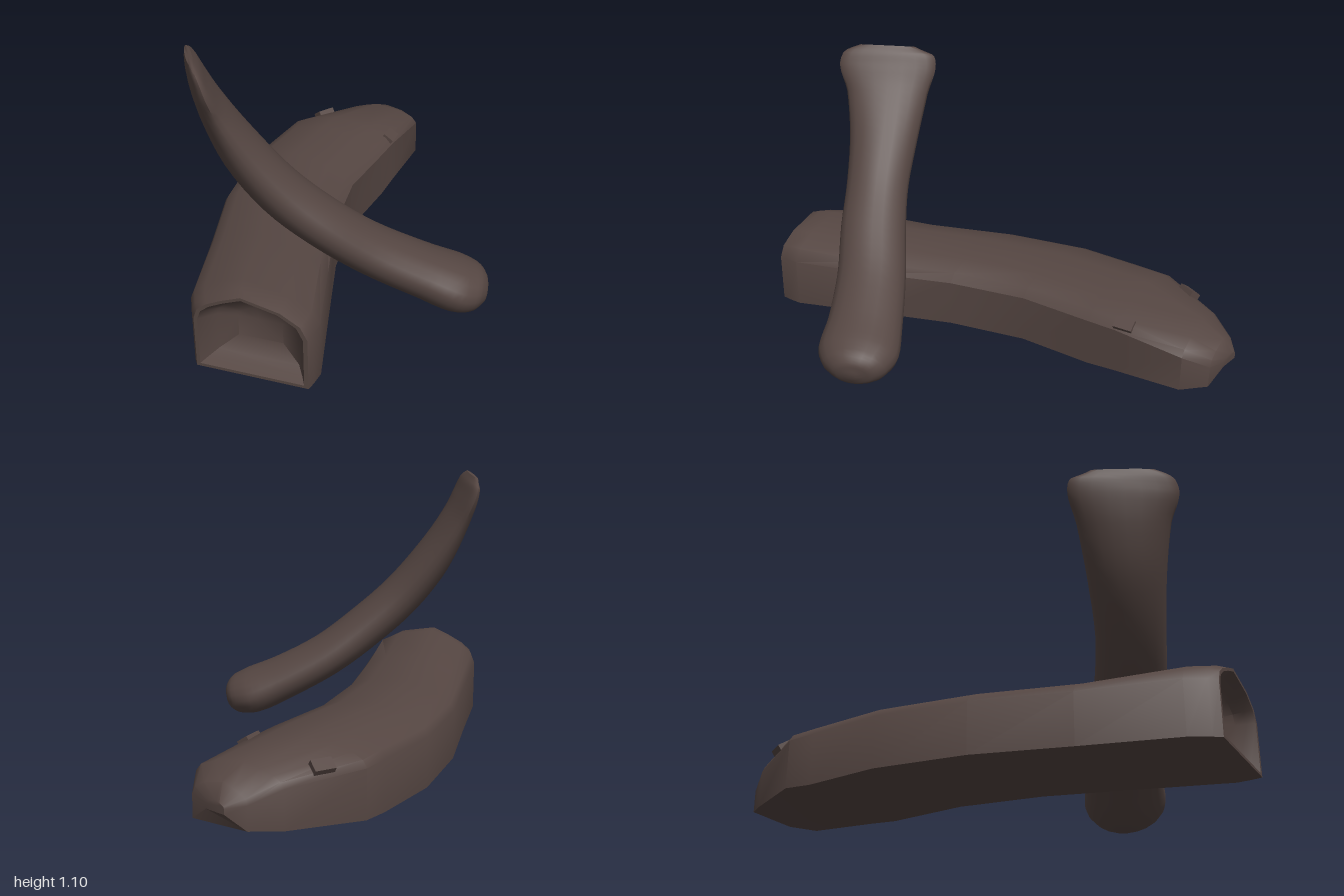
import * as THREE from 'three';
import { toCreasedNormals } from 'three/addons/utils/BufferGeometryUtils.js';

// Skin over closed rings of points, with a fan closing each end
function loft(rings, crease) {
  const n = rings[0].length, pos = [], idx = [];
  rings.forEach(r => r.forEach(p => pos.push(p.x, p.y, p.z)));
  for (let i = 0; i < rings.length - 1; i++) {
    for (let j = 0; j < n; j++) {
      const k = (j + 1) % n;
      const a = i * n + j, b = i * n + k, c = b + n, d = a + n;
      idx.push(a, d, c, a, c, b);
    }
  }
  const last = rings.length - 1;
  for (const i of [0, last]) {
    const mid = centre(rings[i]), m = pos.length / 3;
    pos.push(mid.x, mid.y, mid.z);
    for (let j = 0; j < n; j++) {
      const a = i * n + j, b = i * n + (j + 1) % n;
      if (i === 0) idx.push(m, a, b); else idx.push(m, b, a);
    }
  }
  const g = new THREE.BufferGeometry();
  g.setAttribute('position', new THREE.Float32BufferAttribute(pos, 3));
  g.setIndex(idx);
  return toCreasedNormals(g, crease);
}

function centre(ring) {
  const c = new THREE.Vector3();
  ring.forEach(p => c.add(p));
  return c.divideScalar(ring.length);
}

// Cross-section of the body: share of width, share of shoulder height (-1 = base)
const SECTION = [
  [0, -1], [0, 0], [0.035, 0.32], [0.12, 0.55], [0.26, 0.78], [0.43, 1],
  [0.77, 0.74], [0.94, 0.4], [1, 0], [1, -1],
];

// z on each side, x on each side, base, wall top, ridge
const BODY = [
  [-1.0, -0.99, -0.335, -0.25, 0.11, 0.13, 0.15],
  [-0.955, -0.965, -0.395, -0.17, 0.05, 0.14, 0.205],
  [-0.85, -0.87, -0.47, -0.11, 0.032, 0.18, 0.25],
  [-0.57, -0.57, -0.62, -0.115, 0.01, 0.2, 0.285],
  [-0.45, -0.45, -0.622, -0.115, 0, 0.2, 0.292],
  [-0.15, -0.13, -0.63, -0.12, 0, 0.2, 0.292],
  [0.2, 0.2, -0.56, -0.05, 0, 0.2, 0.292],
  [0.55, 0.55, -0.43, 0.08, 0, 0.2, 0.298],
  [0.9, 0.87, -0.305, 0.2, 0, 0.21, 0.338],
  [0.97, 0.93, -0.26, 0.2, 0, 0.21, 0.337],
  [1.0, 0.965, -0.235, 0.197, 0, 0.205, 0.328],
];

function bodyGeometry() {
  const rings = BODY.map(([zl, zr, xl, xr, base, wall, ridge]) => SECTION.map(([u, h]) =>
    new THREE.Vector3(
      THREE.MathUtils.lerp(xl, xr, u),
      h < 0 ? base : wall + (ridge - wall) * h,
      THREE.MathUtils.lerp(zl, zr, u))));
  // Hollow in the open end: scale and depth of each inner ring
  const rim = rings[rings.length - 1], mid = centre(rim);
  mid.y = 0.16;
  for (const [s, depth] of [[0.93, 0], [0.84, 0.03], [0.72, 0.065], [0.4, 0.1]]) {
    rings.push(rim.map(p => {
      const q = p.clone().sub(mid).multiplyScalar(s).add(mid);
      q.z -= depth;
      return q;
    }));
  }
  return loft(rings, 0.65);
}

// Curved stick: centre x, y, z, half width, half thickness
const STICK = [
  [0.602, 0.073, 0.215, 0.02, 0.015],
  [0.592, 0.076, 0.22, 0.08, 0.055],
  [0.56, 0.086, 0.235, 0.13, 0.085],
  [0.49, 0.108, 0.27, 0.165, 0.1],
  [0.37, 0.17, 0.33, 0.155, 0.095],
  [0.2, 0.28, 0.43, 0.145, 0.092],
  [0.05, 0.42, 0.535, 0.14, 0.092],
  [-0.08, 0.56, 0.61, 0.135, 0.09],
  [-0.2, 0.73, 0.665, 0.15, 0.08],
  [-0.285, 0.9, 0.705, 0.178, 0.055],
  [-0.32, 1.0, 0.725, 0.21, 0.038],
  [-0.335, 1.06, 0.735, 0.195, 0.025],
  [-0.345, 1.092, 0.74, 0.12, 0.012],
];

function stickGeometry() {
  const path = new THREE.CatmullRomCurve3(STICK.map(r => new THREE.Vector3(r[0], r[1], r[2])));
  const size = new THREE.CatmullRomCurve3(
    STICK.map(r => new THREE.Vector3(r[3], r[4], 0)), false, 'catmullrom', 0.5);
  const steps = 48, sides = 20, rings = [];
  for (let i = 0; i <= steps; i++) {
    const p = path.getPoint(i / steps), t = path.getTangent(i / steps);
    const s = size.getPoint(i / steps);
    // Width stays level along one diagonal, thickness is square to it
    const w = new THREE.Vector3(0.61, 0, 0.79);
    w.addScaledVector(t, -w.dot(t)).normalize();
    const n = t.clone().cross(w).normalize();
    const ring = [];
    for (let j = 0; j < sides; j++) {
      const a = -j / sides * Math.PI * 2;
      ring.push(p.clone().addScaledVector(w, Math.cos(a) * s.x).addScaledVector(n, Math.sin(a) * s.y));
    }
    rings.push(ring);
  }
  return loft(rings, 1.1);
}

export function createModel() {
  const group = new THREE.Group();
  const bark = new THREE.MeshStandardMaterial({ color: 0x554642 });
  bark.name = 'darkBrown';

  const add = (name, geometry) => {
    const mesh = new THREE.Mesh(geometry, bark);
    mesh.name = name;
    group.add(mesh);
    return mesh;
  };

  add('hollowBody', bodyGeometry());
  add('curvedStick', stickGeometry());

  // Small raised knobs on both shoulders near the tapered end
  for (const [name, x, y, z, turn] of [
    ['rightKnob', -0.52, 0.222, -0.7, 0.5],
    ['leftKnob', -0.142, 0.218, -0.6, -0.05],
  ]) {
    const knob = add(name, new THREE.BoxGeometry(0.05, 0.04, 0.08));
    knob.position.set(x, y, z);
    knob.rotation.set(0, -turn, x < -0.3 ? 0.6 : -0.6);
  }
  return group;
}
